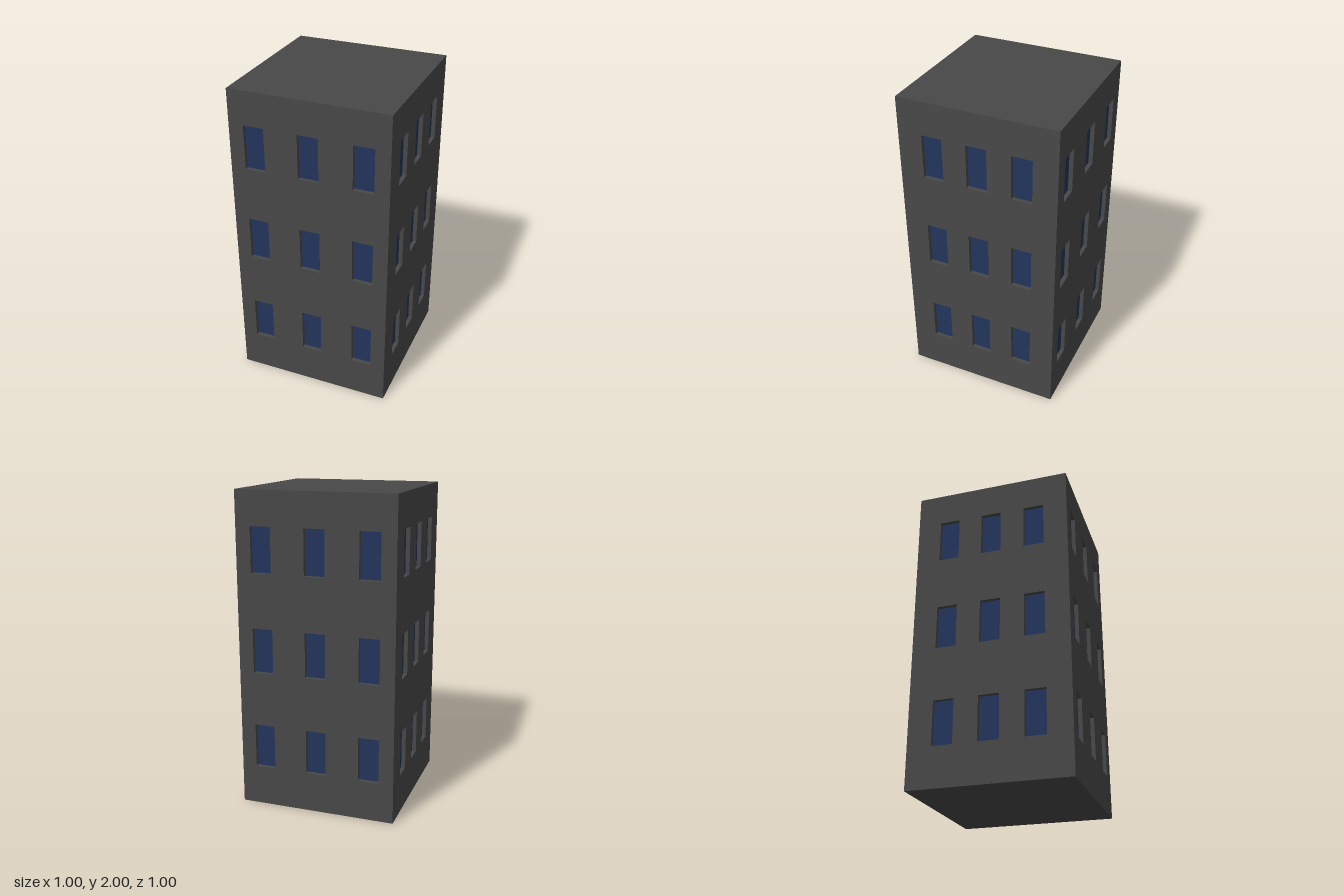
import * as THREE from 'three';

const W = 1, H = 2, RECESS = 0.03, PANE = 0.004;
const WIN_W = 0.13, WIN_H = 0.282;
const FLOORS = [0.394, 1.02, 1.645]; // window centre heights

export function createModel() {
  const wallMat = new THREE.MeshStandardMaterial({ color: 0x484848 });
  wallMat.name = 'dark grey wall';
  const glassMat = new THREE.MeshStandardMaterial({ color: 0x23355b });
  glassMat.name = 'dark blue glass';

  const building = new THREE.Group();
  building.name = 'building';

  const add = (parent, name, geometry, material, x, y, z) => {
    const mesh = new THREE.Mesh(geometry, material);
    mesh.name = name;
    mesh.position.set(x, y, z);
    parent.add(mesh);
  };

  // Solid core behind the window openings
  const inner = W - 2 * RECESS;
  add(building, 'core', new THREE.BoxGeometry(inner, H, inner), wallMat, 0, H / 2, 0);

  const paneGeo = new THREE.BoxGeometry(WIN_W, WIN_H, PANE);

  // Pierced wall with a recessed pane in each opening
  function facade(name, width, spacing, angle) {
    const group = new THREE.Group();
    group.name = name;
    const shape = new THREE.Shape([
      new THREE.Vector2(-width / 2, 0), new THREE.Vector2(width / 2, 0),
      new THREE.Vector2(width / 2, H), new THREE.Vector2(-width / 2, H),
    ]);
    for (const y of FLOORS) {
      for (const x of [-spacing, 0, spacing]) {
        const a = WIN_W / 2, b = WIN_H / 2;
        shape.holes.push(new THREE.Path([
          new THREE.Vector2(x - a, y - b), new THREE.Vector2(x - a, y + b),
          new THREE.Vector2(x + a, y + b), new THREE.Vector2(x + a, y - b),
        ]));
        add(group, 'windowPane', paneGeo, glassMat, x, y, inner / 2 + PANE / 2);
      }
    }
    const wallGeo = new THREE.ExtrudeGeometry(shape, { depth: RECESS, bevelEnabled: false });
    add(group, 'wall', wallGeo, wallMat, 0, 0, inner / 2);
    group.rotation.y = angle;
    building.add(group);
  }

  // Side walls fit between the full-width front and back walls
  facade('frontFacade', W, 0.341, 0);
  facade('backFacade', W, 0.341, Math.PI);
  facade('leftFacade', inner, 0.282, Math.PI / 2);
  facade('rightFacade', inner, 0.282, -Math.PI / 2);

  return building;
}
